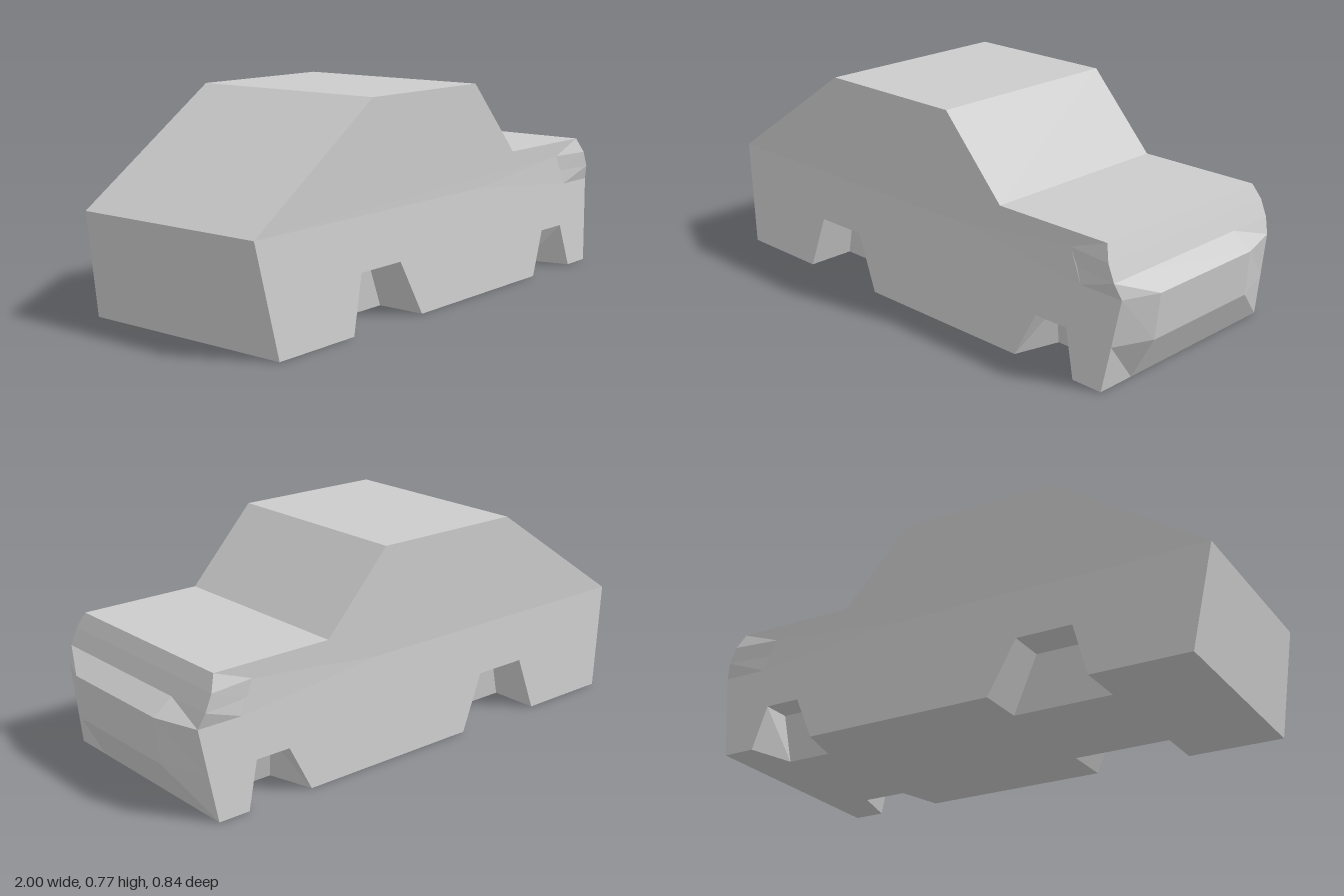
import * as THREE from 'three';

const material = new THREE.MeshStandardMaterial({ color: 0xcccccc, flatShading: true });

// Half width of the body at a given height: sills lean outwards
const halfWidth = (y) => Math.max(0.385, 0.42 - 0.09 * y);
const onSide = ([x, y]) => [x, y, halfWidth(y)];
const flip = ([x, y, z]) => [x, y, -z];

// Band of triangles between two rows of points; faces along (row direction) x (a to b)
function strip(a, b) {
  const pts = [];
  for (let i = 0; i < a.length - 1; i++) pts.push(a[i], a[i + 1], b[i], a[i + 1], b[i + 1], b[i]);
  return pts;
}

// Flat outline filled with triangles, each corner placed by a rule
function fill(outline, place) {
  const v = outline.map(([x, y]) => new THREE.Vector2(x, y));
  return THREE.ShapeUtils.triangulateShape(v, []).flat().map((i) => place(outline[i]));
}

// Mirror triangles to the other side, keeping them facing outwards
function mirrored(pts) {
  const out = [];
  for (let i = 0; i < pts.length; i += 3) out.push(flip(pts[i]), flip(pts[i + 2]), flip(pts[i + 1]));
  return out;
}

export function createModel() {
  const group = new THREE.Group();

  function add(name, pts) {
    const g = new THREE.BufferGeometry();
    g.setAttribute('position', new THREE.Float32BufferAttribute(pts.flat(), 3));
    g.computeVertexNormals();
    const mesh = new THREE.Mesh(g, material);
    mesh.name = name;
    group.add(mesh);
  }
  function addPair(name, pts) {
    add('left' + name, mirrored(mirrored(pts)));
    add('right' + name, mirrored(pts));
  }
  const across = (row) => strip(row, row.map(flip));

  // Wheel wells: opening on the side, and the recessed inner wall
  const wells = [
    {
      name: 'RearWheelWell', depth: [0.235, 0.255],
      outer: [[-0.57, 0], [-0.51, 0.2], [-0.3, 0.2], [-0.2, 0]],
      inner: [[-0.57, 0], [-0.51, 0.2], [-0.3, 0.2], [-0.2, 0]],
    },
    {
      name: 'FrontWheelWell', depth: [0.25, 0.3],
      outer: [[0.52, 0], [0.6, 0.165], [0.735, 0.165], [0.78, 0]],
      inner: [[0.565, 0], [0.6, 0.165], [0.735, 0.165], [0.735, 0]],
    },
  ];
  for (const { name, outer, inner, depth } of wells) {
    const rim = outer.map(onSide);
    const back = inner.map(([x, y]) => [x, y, y > 0 ? depth[1] : depth[0]]);
    addPair(name, [...strip(back, rim), ...strip([back[0], back[3]], [back[1], back[2]])]);
  }

  // Lower side panels with the wheel openings cut out
  const belt = [[0.95, 0.325], [0.78, 0.325], [0.4, 0.325], [0.2, 0.385], [-1, 0.385]];
  const lower = [[-0.93, 0], ...wells.flatMap((w) => w.outer), [0.9, 0], [0.925, 0.16], ...belt];
  addPair('LowerSide', fill(lower, onSide));

  // Upper side panels up to the roof and bonnet
  const upper = [
    [-1, 0.385], [0.2, 0.385], [0.4, 0.325], [0.78, 0.325], [0.76, 0.38], [0.73, 0.44],
    [0.73, 0.495], [0.415, 0.495], [0.16, 0.77], [-0.43, 0.77],
  ];
  addPair('UpperSide', fill(upper, onSide));

  // Flared headlight corners
  const flareStart = [[0.73, 0.495], [0.73, 0.44], [0.76, 0.38], [0.78, 0.325]].map(onSide);
  const flareEnd = [[0.88, 0.495, 0.385], [0.905, 0.44, 0.407], [0.93, 0.38, 0.407], onSide([0.95, 0.325])];
  addPair('HeadlightFlare', strip(flareStart, flareEnd));

  // Panels running across the full width
  const profile = [[-0.93, 0], [-1, 0.385], [-0.43, 0.77], [0.16, 0.77], [0.415, 0.495], [0.88, 0.495]].map(onSide);
  ['tailPanel', 'rearSlope', 'roof', 'windscreen', 'bonnet'].forEach((name, i) =>
    add(name, across(profile.slice(i, i + 2))));
  add('grille', across(flareEnd.slice(0, 3)));

  // Front bumper: a projecting centre with angled corners
  const bumperRow = (y, xCorner, xCentre, zCorner, zCentre) => [
    [xCorner, y, zCorner], [xCentre, y, zCentre + 0.02],
    [xCentre, y, 0.02 - zCentre], [xCorner, y, -zCorner],
  ];
  const rows = [
    bumperRow(0, 0.9, 0.9, 0.42, 0.25),
    bumperRow(0.16, 0.925, 0.985, halfWidth(0.16), 0.245),
    bumperRow(0.325, 0.95, 1, halfWidth(0.325), 0.24),
    bumperRow(0.38, 0.93, 0.93, 0.407, 0.24),
  ];
  add('frontBumper', [0, 1, 2].flatMap((i) => strip(rows[i], rows[i + 1])));

  // Underside with the wheel wells notched out of both edges
  const edge = [[-0.93, 0.42]];
  for (const { outer, inner, depth } of wells) {
    edge.push([outer[0][0], 0.42], [inner[0][0], depth[0]], [inner[3][0], depth[0]], [outer[3][0], 0.42]);
  }
  edge.push([0.9, 0.42]);
  const floor = [...edge.map(([x, z]) => [x, -z]), ...edge.slice().reverse()];
  add('underside', fill(floor, ([x, z]) => [x, 0, z]));

  return group;
}
